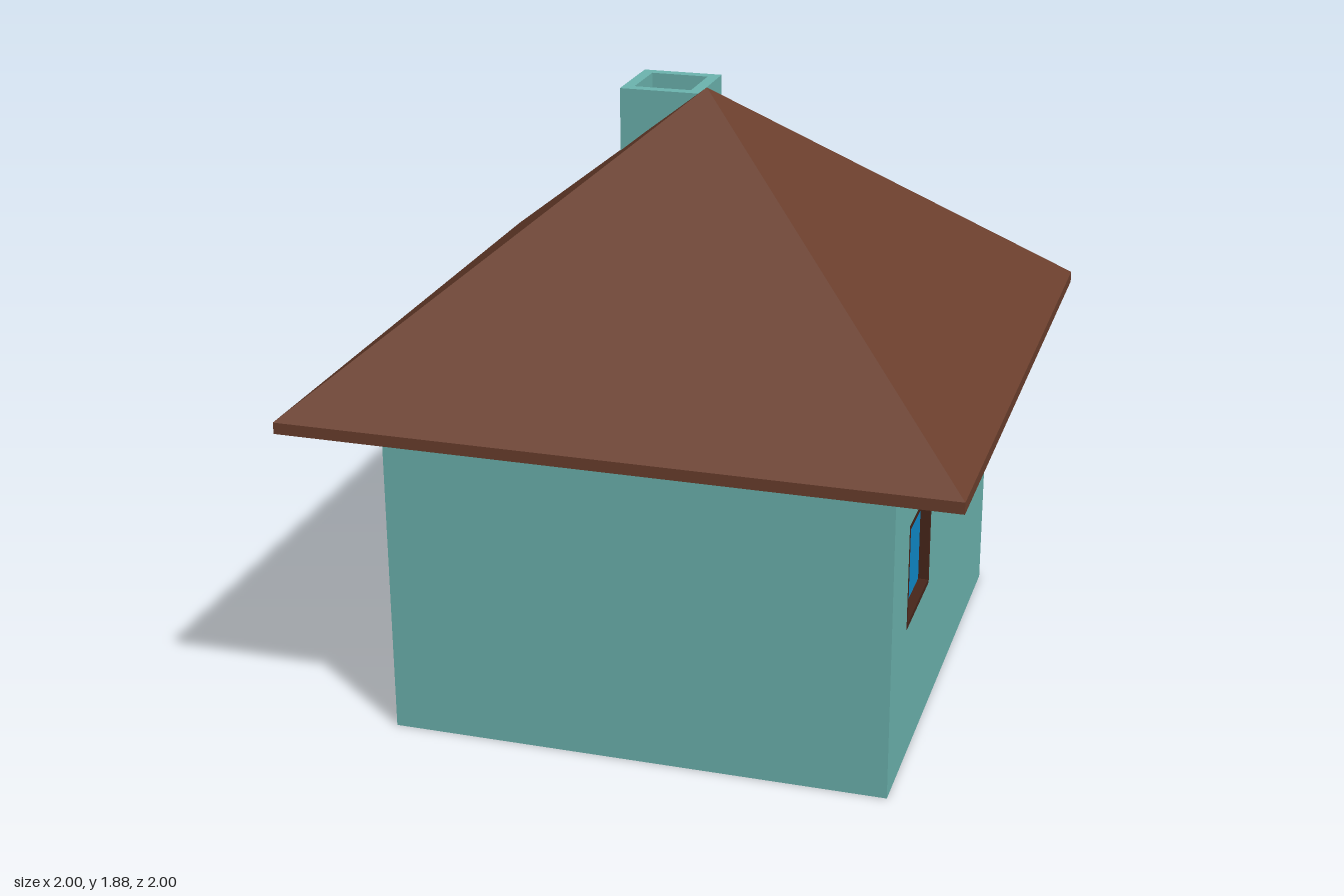
import * as THREE from 'three';

const paint = (color) => new THREE.MeshStandardMaterial({ color, flatShading: true, side: THREE.DoubleSide });
const TEAL = paint(0x6db5b0), ROOF = paint(0x6b3f2d), TRIM = paint(0x48261a);
const GLASS = paint(0x0f8bcc), WOOD = paint(0xb0651f);

const HALF = 0.77, THICK = 0.06;      // house half width, wall thickness
const EAVE = 1.035, RIM = 0.035, RISE = 0.81;
const WALL_TOP = EAVE + (1 - HALF) * RISE;

function add(parent, name, geometry, material, x = 0, y = 0, z = 0) {
  const mesh = new THREE.Mesh(geometry, material);
  mesh.name = name;
  mesh.position.set(x, y, z);
  parent.add(mesh);
  return mesh;
}

function rectangle(path, [x0, y0, x1, y1]) {
  return path.moveTo(x0, y0).lineTo(x1, y0).lineTo(x1, y1).lineTo(x0, y1).closePath();
}

// Flat slab with an optional rectangular opening, front face at z = 0
function slab(rect, depth, opening) {
  const shape = rectangle(new THREE.Shape(), rect);
  if (opening) shape.holes.push(rectangle(new THREE.Path(), opening));
  return new THREE.ExtrudeGeometry(shape, { depth, bevelEnabled: false }).translate(0, 0, -depth);
}

const inset = ([x0, y0, x1, y1], d) => [x0 + d, y0 + d, x1 - d, y1 - d];

// Thin frame with a recessed panel; rect lies in the wall's own plane
function framedPanel(wall, name, rect, material, front, depth, recess) {
  const group = new THREE.Group();
  group.name = name;
  group.position.z = front;
  const inner = inset(rect, 0.017);
  add(group, name + 'Frame', slab(rect, depth, inner), TRIM);
  add(group, name + 'Panel', slab(inner, 0.008), material, 0, 0, -recess);
  wall.add(group);
}

// Wall turned about the house, outer face at distance HALF from the centre
function addWall(house, name, angle, windowRect) {
  const wall = new THREE.Group();
  wall.name = name;
  wall.rotation.y = angle;
  add(wall, name + 'Surface', slab([-HALF, 0, HALF, WALL_TOP], THICK, windowRect), TEAL, 0, 0, HALF);
  if (windowRect) framedPanel(wall, name + 'Window', windowRect, GLASS, HALF, 0.05, 0.03);
  house.add(wall);
  return wall;
}

export function createModel() {
  const house = new THREE.Group();
  house.name = 'house';

  // Walls and floor
  addWall(house, 'frontWall', 0);
  addWall(house, 'leftWall', Math.PI / 2, [-0.555, 0.44, -0.22, 0.775]);
  addWall(house, 'rightWall', -Math.PI / 2);
  const back = addWall(house, 'backWall', Math.PI, [0.235, 0.19, 0.54, 0.815]);
  add(house, 'floor', new THREE.BoxGeometry(2 * HALF - 0.01, 0.04, 2 * HALF - 0.01), TEAL, 0, 0.02, 0);

  // Door standing slightly proud of the back wall
  framedPanel(back, 'door', [-0.59, 0.005, -0.145, 0.755], WOOD, HALF + 0.025, 0.025, 0.01);

  // Pyramid roof: outer slopes, eave rim and sloped underside
  const R = Math.SQRT2;
  const slopes = () => new THREE.ConeGeometry(R, RISE, 4, 1, true).rotateY(Math.PI / 4);
  add(house, 'roof', slopes(), ROOF, 0, EAVE + RIM + RISE / 2, 0);
  add(house, 'roofRim', new THREE.CylinderGeometry(R, R, RIM, 4, 1, true).rotateY(Math.PI / 4), ROOF, 0, EAVE + RIM / 2, 0);
  add(house, 'roofUnderside', slopes(), TEAL, 0, EAVE + RISE / 2, 0);

  // Hollow square chimney
  const chimney = new THREE.Group();
  chimney.name = 'chimney';
  chimney.position.set(-0.245, 1.78, -0.433);
  const outer = [-0.131, -0.131, 0.131, 0.131], flue = inset(outer, 0.037);
  add(chimney, 'chimneyWalls', slab(outer, 0.4, flue).rotateX(-Math.PI / 2), TEAL);
  add(chimney, 'chimneyFloor', slab(flue, 0.02).rotateX(-Math.PI / 2), TEAL, 0, -0.15, 0);
  house.add(chimney);

  return house;
}
